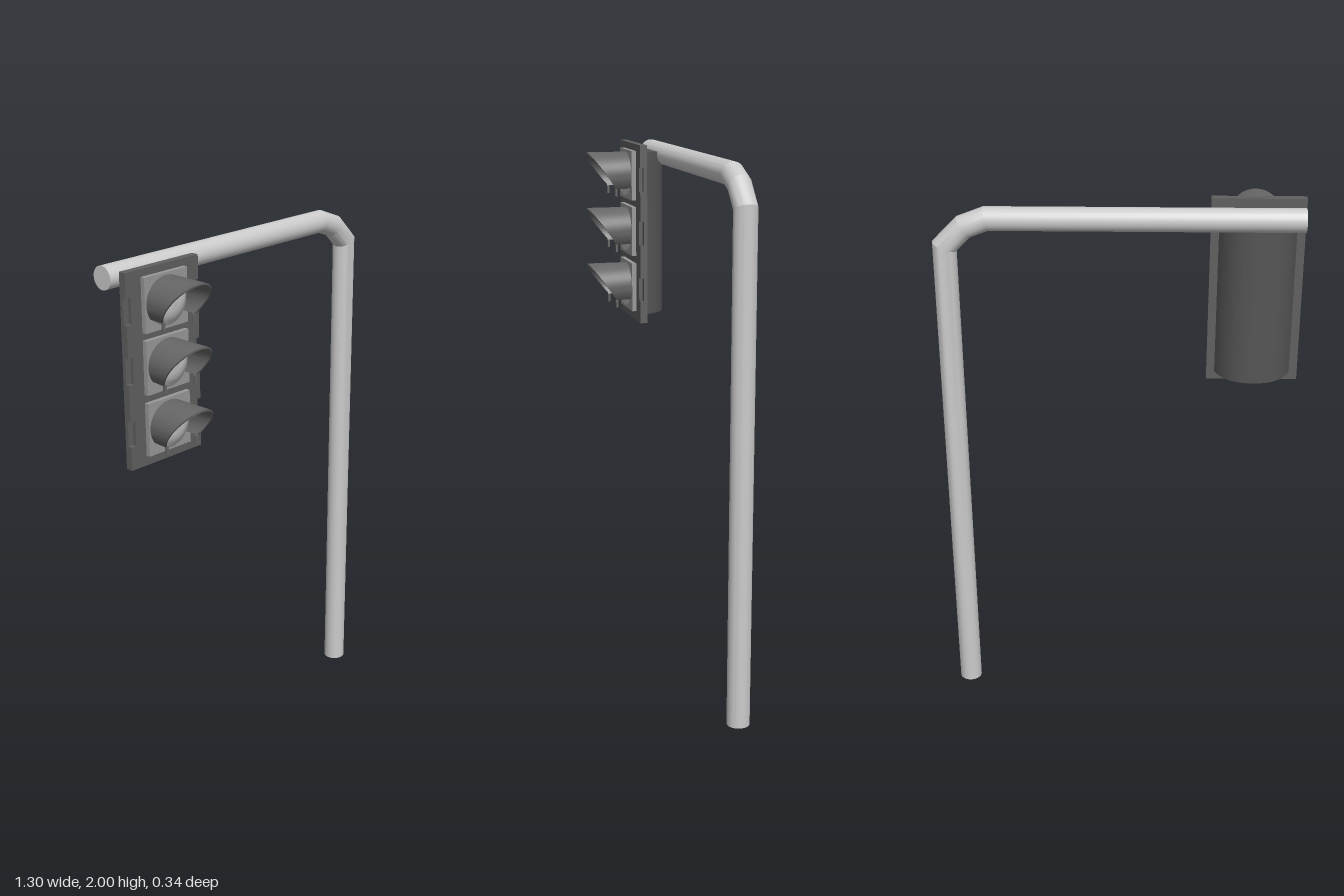
import * as THREE from 'three';
import { toCreasedNormals } from 'three/addons/utils/BufferGeometryUtils.js';

const grey = new THREE.MeshStandardMaterial({ color: 0xcccccc });
const paint = (color) => new THREE.MeshStandardMaterial({ color });
const panelGrey = paint(0x999999);
const plateGrey = paint(0x606060);
const housingGrey = paint(0x555555);
const visorGrey = paint(0x666666);
visorGrey.side = THREE.DoubleSide;

const SIGNAL_X = -0.485;
const LAMP_Y = [1.878, 1.66, 1.438];

function part(name, geometry, material, x = 0, y = 0, z = 0) {
  const mesh = new THREE.Mesh(geometry, material);
  mesh.name = name;
  mesh.position.set(x, y, z);
  return mesh;
}

// Grid of points (rows x cols) joined into a surface
function gridGeometry(rows, cols, pointAt) {
  const pos = [], index = [];
  for (let i = 0; i <= rows; i++)
    for (let j = 0; j <= cols; j++) pos.push(...pointAt(i, j));
  for (let i = 0; i < rows; i++)
    for (let j = 0; j < cols; j++) {
      const a = i * (cols + 1) + j, b = a + cols + 1;
      index.push(a, a + 1, b, b, a + 1, b + 1);
    }
  const g = new THREE.BufferGeometry();
  g.setAttribute('position', new THREE.Float32BufferAttribute(pos, 3));
  g.setIndex(index);
  return g;
}

// Round pipe with mitred elbows in the xy plane
function pipeGeometry(path, radius, sides) {
  const rings = path.map((p, i) => {
    const before = p.clone().sub(path[Math.max(i - 1, 0)]).normalize();
    const after = path[Math.min(i + 1, path.length - 1)].clone().sub(p).normalize();
    const dir = before.clone().add(after).normalize();
    const cos = i > 0 && i < path.length - 1 ? dir.dot(before) : 1;
    return { p, nx: -dir.y / cos, ny: dir.x / cos };
  });
  // first and last rows collapse to a point to close the ends
  const last = rings.length + 1;
  const g = gridGeometry(last, sides, (i, j) => {
    const ring = rings[Math.min(Math.max(i - 1, 0), rings.length - 1)];
    const r = i === 0 || i === last ? 0 : radius;
    const a = ((j % sides) / sides) * Math.PI * 2;
    const u = r * Math.cos(a);
    return [ring.p.x + ring.nx * u, ring.p.y + ring.ny * u, r * Math.sin(a)];
  });
  return toCreasedNormals(g, 0.33);
}

// Flared hood: open below, front edge cut on a slant
function visorGeometry() {
  const start = -0.63, sweep = Math.PI + 1.26, thick = 0.007;
  // cross-section loop: outer back, outer front, inner front, inner back, outer back
  const g = gridGeometry(32, 4, (i, j) => {
    const a = start + (sweep * i) / 32;
    const front = j === 1 || j === 2;
    const inset = j === 2 || j === 3 ? thick : 0;
    const z = front ? 0.07 + (0.087 * Math.sin(a) + 0.053) * 0.72 : 0.005;
    const rx = 0.091 + Math.min(z, 0.12) * 0.075 - inset;
    return [rx * Math.cos(a), (0.087 - inset) * Math.sin(a), z];
  });
  return toCreasedNormals(g, 0.6);
}

// Plate outline with optional side notches beside each lamp
function plateShape(notch) {
  const hw = 0.166, right = [[hw, 1.305]];
  if (notch)
    for (const y of [1.437, 1.66, 1.868])
      right.push([hw, y - 0.046], [hw - notch, y - 0.046], [hw - notch, y + 0.046], [hw, y + 0.046]);
  right.push([hw, 2]);
  const left = right.map(([x, y]) => [-x, y]).reverse();
  return new THREE.Shape([...right, ...left].map(([x, y]) => new THREE.Vector2(x, y)));
}

function extrude(shape, depth) {
  return new THREE.ExtrudeGeometry(shape, { depth, bevelEnabled: false, curveSegments: 20 });
}

function createLamp() {
  const lamp = new THREE.Group();
  lamp.name = 'lamp';
  lamp.add(part('lampPanel', new THREE.BoxGeometry(0.196, 0.192, 0.018), panelGrey, 0, 0, 0.003));

  // Lens dome with a stepped rim
  const profile = [[0.084, 0.01], [0.084, 0.02], [0.076, 0.022], [0.068, 0.03], [0.052, 0.039],
    [0.03, 0.046], [0, 0.049]].map(([r, h]) => new THREE.Vector2(r, h));
  const lens = new THREE.LatheGeometry(profile, 32);
  lens.rotateX(Math.PI / 2);
  lamp.add(part('lens', lens, grey));

  lamp.add(part('visor', visorGeometry(), visorGrey));
  // Small tabs under the visor's lower corners
  for (const side of [-1, 1])
    lamp.add(part('visorTab', new THREE.BoxGeometry(0.01, 0.03, 0.009), visorGrey, side * 0.07, -0.066, 0.068));
  return lamp;
}

export function createModel() {
  const model = new THREE.Group();
  model.name = 'trafficSignal';

  // Pole, elbow and overhead arm in one pipe
  const path = [[0.602, 0], [0.602, 1.858], [0.533, 1.928], [0.455, 1.958], [-0.64, 1.958]]
    .map(([x, y]) => new THREE.Vector2(x, y));
  model.add(part('pole', pipeGeometry(path, 0.042, 24), grey, 0, 0, -0.131));

  const signal = new THREE.Group();
  signal.name = 'signalHead';
  signal.position.x = SIGNAL_X;
  model.add(signal);

  // Back plate: plain rear layer and notched front layer
  signal.add(part('backPlate', extrude(plateShape(0), 0.014), plateGrey, 0, 0, -0.033));
  signal.add(part('plateFace', extrude(plateShape(0.022), 0.014), plateGrey, 0, 0, -0.019));

  // Rounded rear housing
  const section = new THREE.Shape();
  section.moveTo(0.138, 0.03);
  section.lineTo(0.126, 0.056);
  section.bezierCurveTo(0.098, 0.108, 0.06, 0.13, 0, 0.13);
  section.bezierCurveTo(-0.06, 0.13, -0.098, 0.108, -0.126, 0.056);
  section.lineTo(-0.138, 0.03);
  const housing = extrude(section, 0.635);
  housing.rotateX(-Math.PI / 2);
  signal.add(part('housing', toCreasedNormals(housing, 0.6), housingGrey, 0, 1.335, 0));

  // Three hooded lamps
  for (const y of LAMP_Y) {
    const lamp = createLamp();
    lamp.position.y = y;
    signal.add(lamp);
  }
  return model;
}
